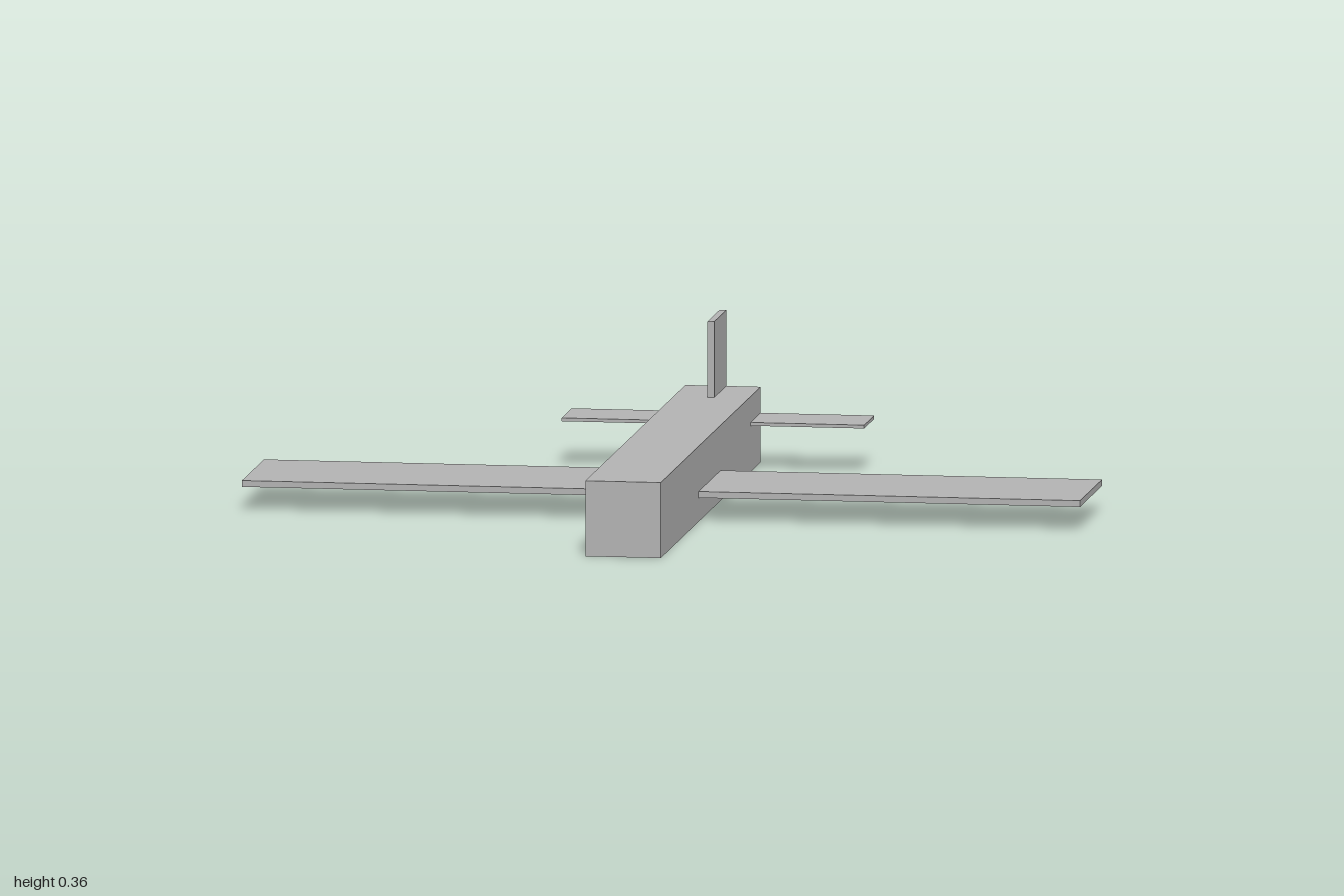
import * as THREE from 'three';

export function createModel() {
  const model = new THREE.Group();
  model.name = 'airplane';
  const grey = new THREE.MeshStandardMaterial({ color: 0xb2b2b2 });
  grey.name = 'plain grey';

  // Box given by its extents along each axis
  function addBox(name, [x0, x1], [y0, y1], [z0, z1]) {
    const mesh = new THREE.Mesh(new THREE.BoxGeometry(x1 - x0, y1 - y0, z1 - z0), grey);
    mesh.position.set((x0 + x1) / 2, (y0 + y1) / 2, (z0 + z1) / 2);
    mesh.name = name;
    model.add(mesh);
  }

  // Square body running nose to tail
  addBox('fuselage', [-0.09, 0.09], [0, 0.18], [-0.753, 0.753]);
  // Main wing, passing through the body
  addBox('wing', [-1, 1], [0.057, 0.072], [-0.151, 0.181]);
  // Thin horizontal tail
  addBox('tailplane', [-0.361, 0.361], [0.11, 0.118], [-0.753, -0.602]);
  // Upright fin on top of the body
  addBox('tailFin', [-0.008, 0.008], [0.18, 0.361], [-0.753, -0.573]);

  return model;
}
